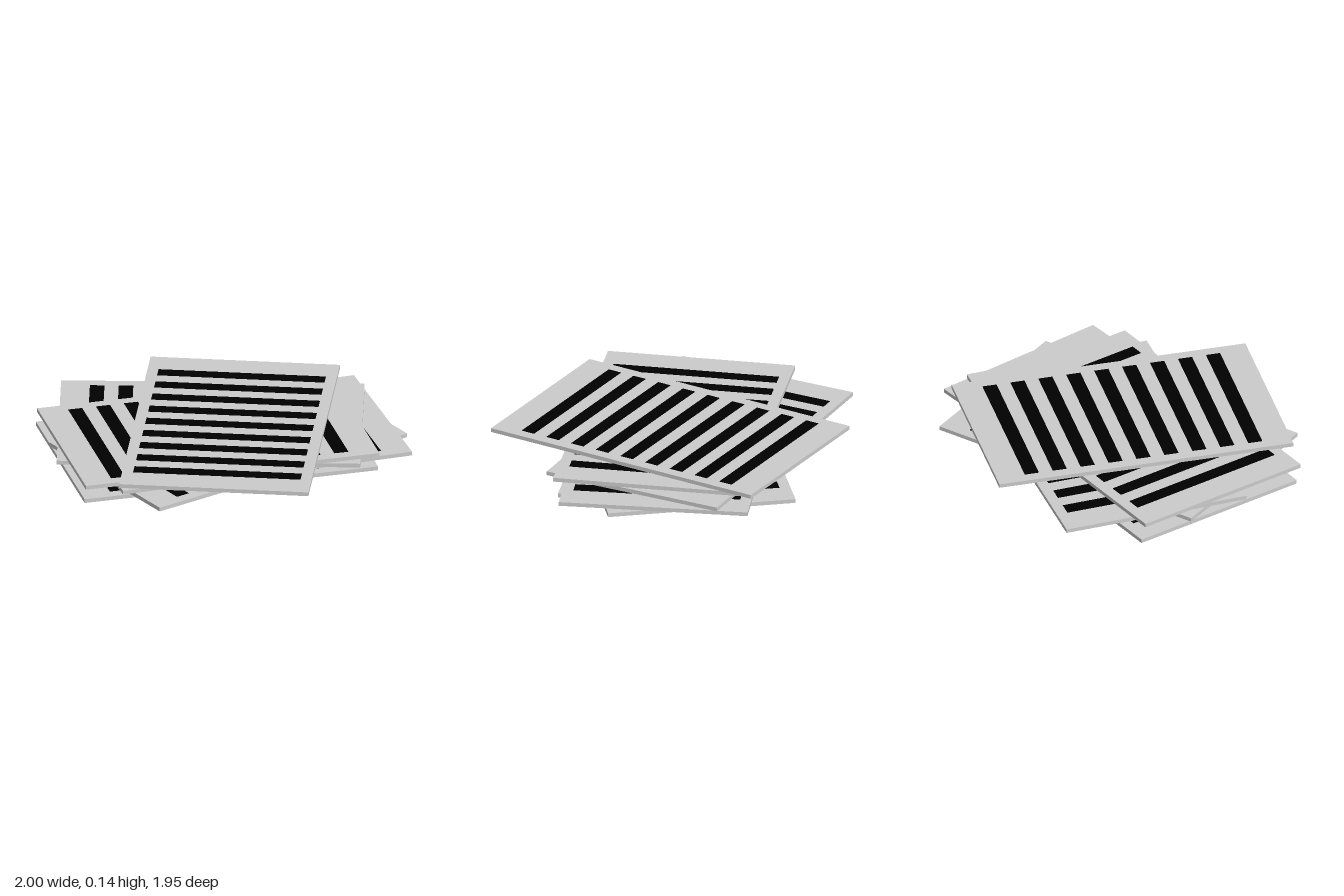
import * as THREE from 'three';

const WIDTH = 1.055, LENGTH = 1.683, THICK = 0.0227, PITCH = 0.0234;
const STRIPES = 9, STRIPE_W = 0.933, STRIPE_D = 0.081, STRIPE_STEP = 0.16;

// Centre x, centre z and turn in degrees of each panel, bottom to top
const LAYOUT = [
  [-0.10, -0.03, 90],
  [0.022, -0.03, 110.6],
  [0.08, -0.028, 93],
  [-0.045, -0.158, 73.8],
  [-0.10, -0.003, 90],
  [0.022, -0.003, -20.8],
];

const grey = new THREE.MeshStandardMaterial({ color: 0xcccccc });
const black = new THREE.MeshStandardMaterial({ color: 0x000000 });

function createPanel() {
  const panel = new THREE.Group();

  // Thin flat board
  const board = new THREE.Mesh(new THREE.BoxGeometry(WIDTH, THICK, LENGTH), grey);
  board.name = 'board';
  board.position.y = THICK / 2;
  panel.add(board);

  // Painted stripes across the upper face
  const stripeGeometry = new THREE.PlaneGeometry(STRIPE_W, STRIPE_D).rotateX(-Math.PI / 2);
  for (let i = 0; i < STRIPES; i++) {
    const stripe = new THREE.Mesh(stripeGeometry, black);
    stripe.name = `stripe${i + 1}`;
    stripe.position.set(0, THICK + 0.0004, (i - (STRIPES - 1) / 2) * STRIPE_STEP);
    panel.add(stripe);
  }
  return panel;
}

export function createModel() {
  const stack = new THREE.Group();
  stack.name = 'panelStack';
  LAYOUT.forEach(([x, z, turn], i) => {
    const panel = createPanel();
    panel.name = `stripedPanel${i + 1}`;
    panel.position.set(x, i * PITCH, z);
    panel.rotation.y = THREE.MathUtils.degToRad(turn);
    stack.add(panel);
  });
  return stack;
}
